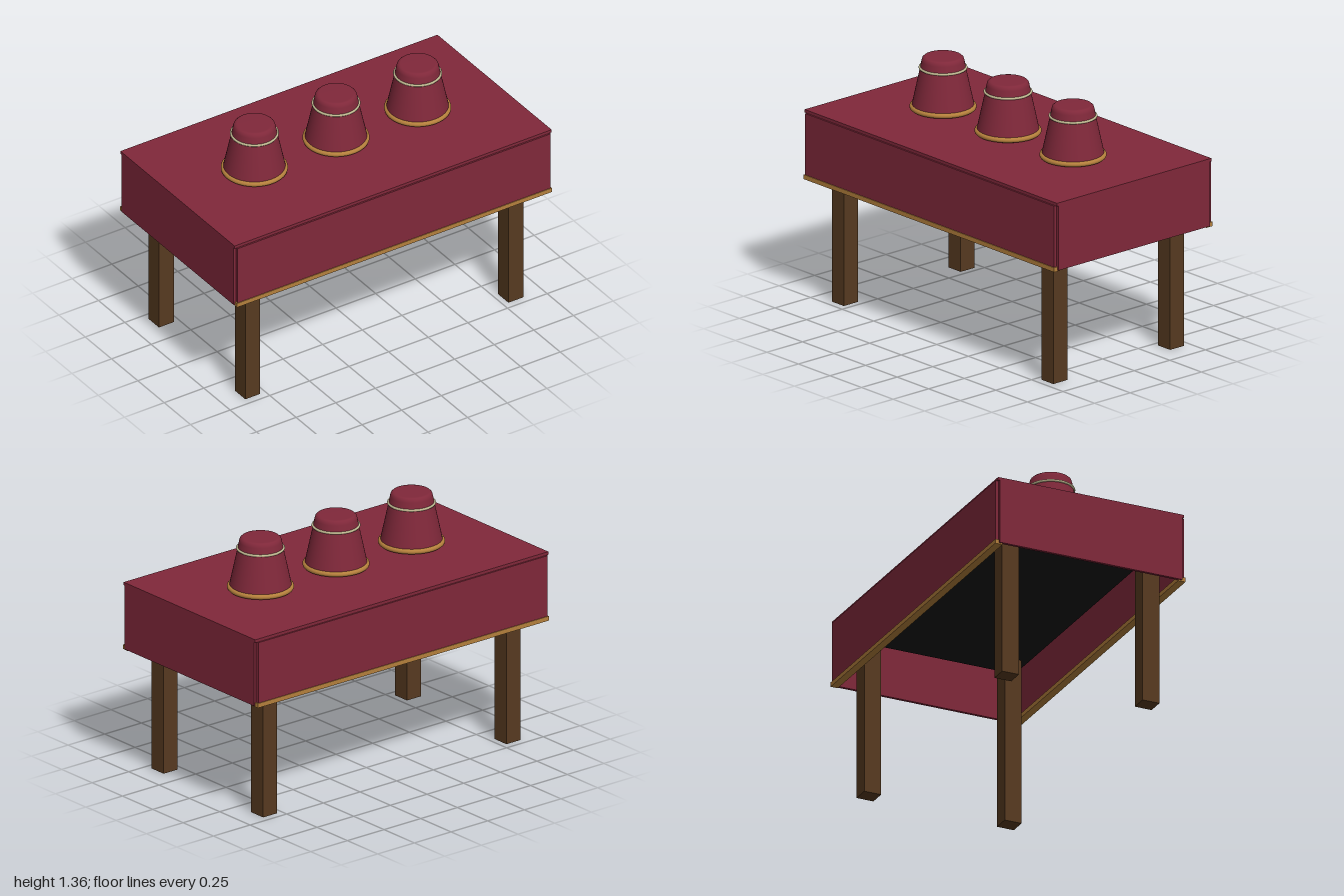
import * as THREE from 'three';

const material = (name, color) => {
  const m = new THREE.MeshStandardMaterial({ color });
  m.name = name;
  return m;
};

export function createModel() {
  const model = new THREE.Group();
  model.name = 'cupTable';
  const cloth = material('wine red', 0x80283a);
  const wood = material('dark wood', 0x573a20);
  const gold = material('gold', 0xb5803c);
  const silver = material('pale silver', 0xc0b890);
  const black = material('black', 0x151515);

  const add = (parent, name, geometry, mat, x = 0, y = 0, z = 0) => {
    const mesh = new THREE.Mesh(geometry, mat);
    mesh.name = name;
    mesh.position.set(x, y, z);
    parent.add(mesh);
    return mesh;
  };
  // Box given by its size, its bottom and top heights and its centre
  const box = (name, mat, w, d, y0, y1, x = 0, z = 0) =>
    add(model, name, new THREE.BoxGeometry(w, y1 - y0, d), mat, x, (y0 + y1) / 2, z);

  // Table board under its cloth
  box('tableBoard', black, 1.9, 1.0, 0.944, 1.041);
  box('clothTop', cloth, 2, 1.084, 1.04, 1.057);

  for (const s of [1, -1]) {
    // Hanging cloth panels, with gold trim on the two long sides
    box('longPanel', cloth, 1.972, 0.02, 0.681, 1.04, 0, s * 0.541);
    box('sidePanel', cloth, 0.016, 1.066, 0.681, 1.045, s * 0.992);
    box('goldTrim', gold, 1.985, 0.042, 0.674, 0.699, 0, s * 0.534);
    // Square legs
    for (const t of [1, -1]) box('leg', wood, 0.094, 0.098, 0, 0.944, s * 0.83, t * 0.41);
  }

  // Upside-down cups: body, round foot edge and two rings
  const profile = [
    [0, 1.062], [0.16, 1.062], [0.16, 1.062], [0.166, 1.07], [0.165, 1.085],
    [0.121, 1.29], [0.113, 1.332], [0.109, 1.346], [0.1, 1.354],
    [0.09, 1.356], [0, 1.356],
  ].map(([r, y]) => new THREE.Vector2(r, y));
  const body = new THREE.LatheGeometry(profile, 48);
  const rim = new THREE.TorusGeometry(0.163, 0.014, 12, 48).rotateX(Math.PI / 2);
  const ring = new THREE.TorusGeometry(0.122, 0.007, 8, 48).rotateX(Math.PI / 2);
  for (const x of [-0.515, 0, 0.515]) {
    const cup = new THREE.Group();
    cup.name = 'cup';
    cup.position.x = x;
    add(cup, 'cupBody', body, cloth);
    add(cup, 'cupRim', rim, gold, 0, 1.078);
    add(cup, 'cupRing', ring, silver, 0, 1.294);
    model.add(cup);
  }
  return model;
}
